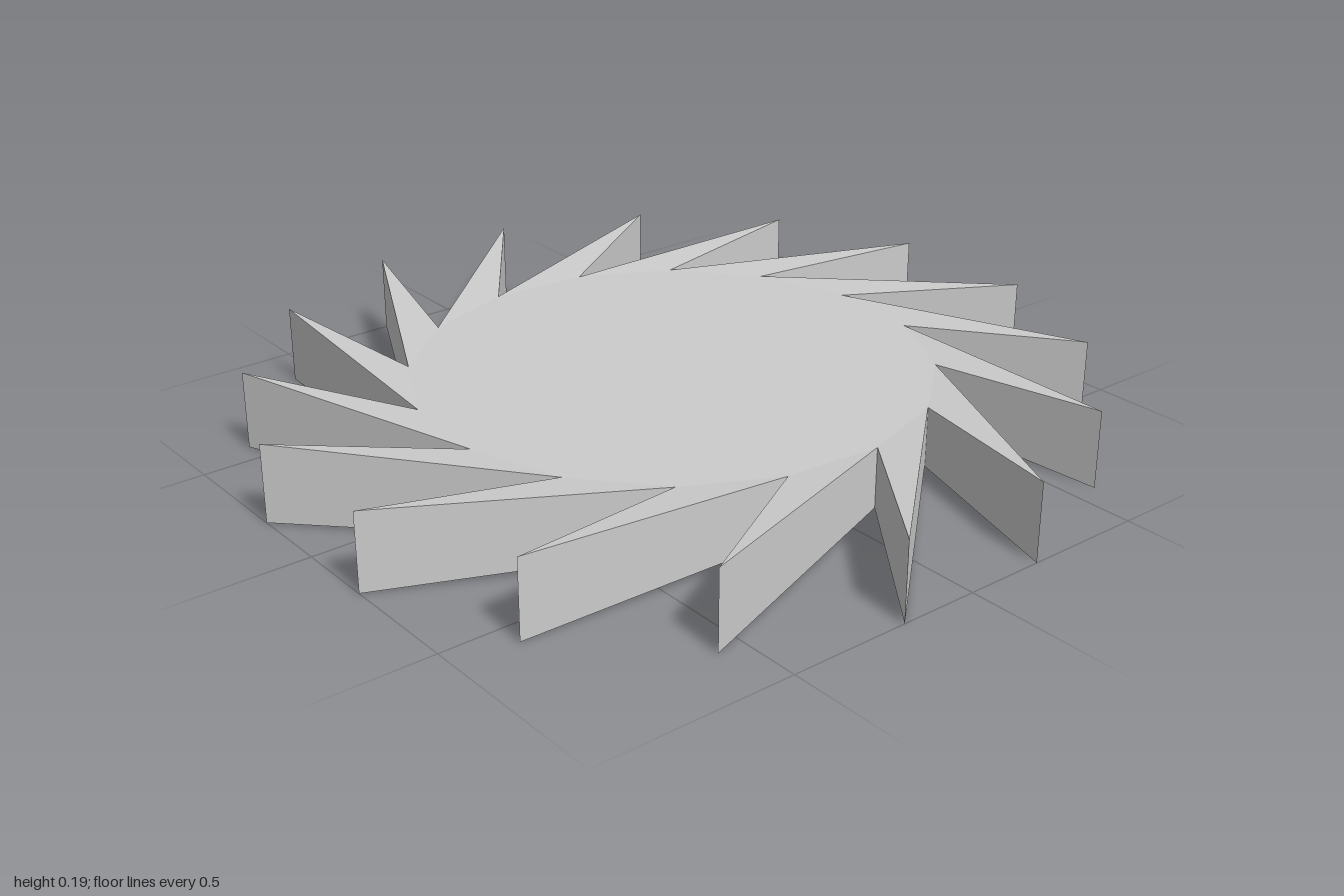
import * as THREE from 'three';

const TEETH = 16;
const STEP = (Math.PI * 2) / TEETH;
// radius, first angle, bottom and top height of the root and tip corners
const ROOT = { r: 0.634, a: THREE.MathUtils.degToRad(29.2), y: [0.022, 0.173] };
const TIP = { r: 1.0196, a: STEP / 2, y: [0, 0.195] };

const corner = (c, i, level) => {
  const a = c.a + i * STEP;
  return [c.r * Math.cos(a), c.y[level], -c.r * Math.sin(a)];
};

function mesh(name, triangles) {
  const geometry = new THREE.BufferGeometry();
  geometry.setAttribute('position', new THREE.Float32BufferAttribute(triangles.flat(2), 3));
  geometry.computeVertexNormals();
  const m = new THREE.Mesh(geometry, new THREE.MeshStandardMaterial({ color: 0xcccccc, flatShading: true }));
  m.name = name;
  return m;
}

export function createModel() {
  const group = new THREE.Group();
  group.name = 'sawtoothDisc';
  const hub = [];

  for (let i = 0; i < TEETH; i++) {
    const [rb, rt] = [0, 1].map((l) => corner(ROOT, i, l));
    const [tb, tt] = [0, 1].map((l) => corner(TIP, i, l));
    const [nb, nt] = [0, 1].map((l) => corner(ROOT, i + 1, l));

    // flat hub sectors, top and bottom
    hub.push([[0, ROOT.y[1], 0], rt, nt], [[0, ROOT.y[0], 0], nb, rb]);

    // swept tooth, thickening towards its sharp tip
    group.add(mesh('tooth', [
      [rt, tt, nt], [rb, nb, tb],
      [rb, tb, tt], [rb, tt, rt],
      [tb, nb, nt], [tb, nt, tt],
    ]));
  }
  group.add(mesh('hub', hub));
  return group;
}
